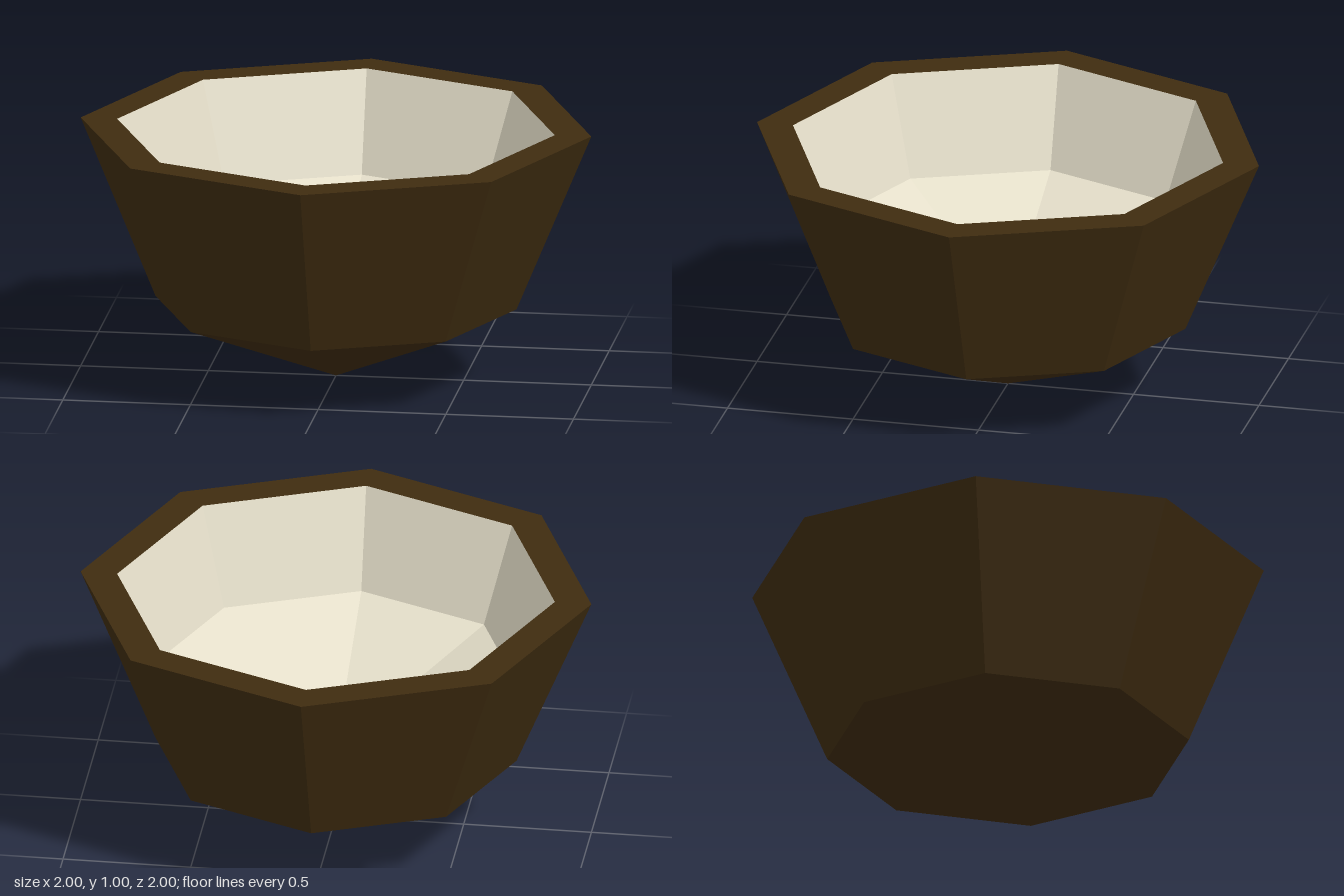
import * as THREE from 'three';

const SIDES = 8;

// Faceted ring surface from [radius, height] pairs, listed so the visible side faces out
function facetedLathe(name, profile, material) {
  const points = profile.map(([r, y]) => new THREE.Vector2(r, y));
  const mesh = new THREE.Mesh(new THREE.LatheGeometry(points, SIDES), material);
  mesh.name = name;
  return mesh;
}

export function createModel() {
  const huskBrown = new THREE.MeshStandardMaterial({ color: 0x3f2c10, flatShading: true });
  huskBrown.name = 'husk brown';
  const fleshCream = new THREE.MeshStandardMaterial({ color: 0xe4dec9, flatShading: true });
  fleshCream.name = 'flesh cream';

  const model = new THREE.Group();
  model.name = 'halfShell';

  // Outer husk, from the bottom point up to the rim
  model.add(facetedLathe('outerShell', [[0, 0], [0.707, 0.293], [1, 1]], huskBrown));
  // Flat rim between husk and hollow
  model.add(facetedLathe('rim', [[1, 1], [0.857, 1]], huskBrown));
  // Pale hollow, from the rim down to its deepest point
  model.add(facetedLathe('innerBowl', [[0.857, 1], [0.72, 0.61], [0, 0.3]], fleshCream));

  return model;
}
